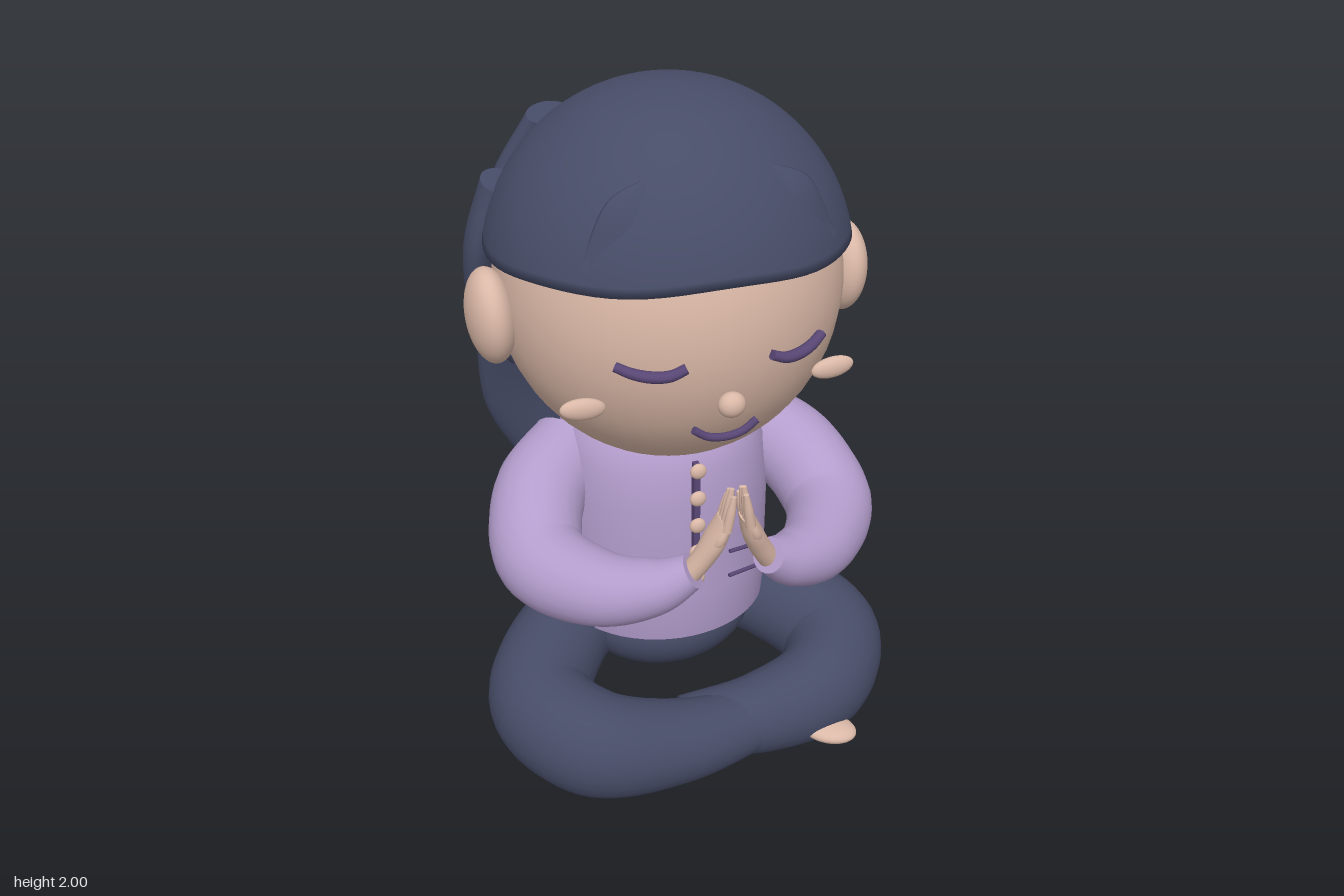
import * as THREE from 'three';

const flat = (name, color) => Object.assign(new THREE.MeshStandardMaterial({ color }), { name });

// Elliptical sections (half-width, half-depth) swept along a smooth path, with flat ends.
// ref gives the direction of the depth axis at each point.
function sweep(points, radii, ref = () => new THREE.Vector3(0, 1, 0), n = 32, sides = 24) {
  const path = new THREE.CatmullRomCurve3(points.map(p => new THREE.Vector3(...p)));
  const size = new THREE.CatmullRomCurve3(radii.map(r => new THREE.Vector3(r[0], r[1] ?? r[0], 0)));
  const pos = [], index = [];
  const ring = t => {
    const p = path.getPoint(t), s = size.getPoint(t), T = path.getTangent(t);
    const B = ref(p).cross(T).normalize(), N = T.clone().cross(B);
    for (let j = 0; j < sides; j++) {
      const a = j / sides * Math.PI * 2;
      const v = p.clone().addScaledVector(B, Math.cos(a) * s.x).addScaledVector(N, Math.sin(a) * s.y);
      pos.push(v.x, v.y, v.z);
    }
    return p;
  };
  for (let i = 0; i <= n; i++) ring(i / n);
  for (let i = 0; i < n; i++) for (let j = 0; j < sides; j++) {
    const k = (j + 1) % sides, a = i * sides + j, b = i * sides + k;
    index.push(a, b, a + sides, b, b + sides, a + sides);
  }
  for (const end of [0, 1]) {
    const start = pos.length / 3, c = ring(end);
    pos.push(c.x, c.y, c.z);
    for (let j = 0; j < sides; j++) {
      const a = start + j, b = start + (j + 1) % sides;
      index.push(start + sides, end ? a : b, end ? b : a);
    }
  }
  const g = new THREE.BufferGeometry();
  g.setAttribute('position', new THREE.Float32BufferAttribute(pos, 3));
  g.setIndex(index);
  g.computeVertexNormals();
  return g;
}

// Hair cap: a dome whose lower edge runs level over the face and drops at the back
function hairCap() {
  const g = new THREE.SphereGeometry(1, 72, 28, 0, Math.PI * 2, 0, Math.PI / 2);
  const p = g.attributes.position, uv = g.attributes.uv;
  for (let i = 0; i < p.count; i++) {
    const phi = uv.getX(i) * Math.PI * 2, v = 1 - uv.getY(i);
    const x = -Math.cos(phi), z = Math.sin(phi), a = Math.abs(Math.atan2(x, z));
    const edge = 1.594 + 0.02 * Math.cos(2 * a) + 0.005 * Math.cos(6 * a)
      - 0.4 * THREE.MathUtils.smoothstep(a, 1.9, 2.5);
    const low = edge < 1.49 ? 0.57 : 0.51;
    const th = Math.min(1, v * 28 / 27) * Math.acos((edge - 1.49) / low);
    const r = Math.sin(th) * (v > 0.99 ? 0.9 : 1), c = Math.cos(th);
    p.setXYZ(i, x * r * 0.512, 1.49 + c * (c > 0 ? 0.51 : 0.57), z * r * (z > 0 ? 0.51 : 0.5));
  }
  g.computeVertexNormals();
  return g;
}

export function createModel() {
  const model = new THREE.Group();
  const skin = flat('skin', 0xdab8a7), navy = flat('navy', 0x474c67);
  const lilac = flat('lilac', 0xb39dcc), plum = flat('plum', 0x584674);
  navy.side = lilac.side = THREE.DoubleSide;
  const add = (name, geo, mat) => {
    const m = new THREE.Mesh(geo, mat);
    m.name = name;
    model.add(m);
    return m;
  };
  const ball = (name, mat, c, r, rz = 0) => {
    const m = add(name, new THREE.SphereGeometry(1, 40, 28), mat);
    m.position.set(...c);
    m.scale.set(...r);
    m.rotation.z = rz;
    return m;
  };
  const outward = p => new THREE.Vector3(p.x, 0, p.z);
  const backward = p => new THREE.Vector3(p.x * 0.65, 0, p.z);
  const sideways = () => new THREE.Vector3(1, 0, 0);
  const forward = () => new THREE.Vector3(0, 0, 1);

  // Head and face
  ball('head', skin, [0, 1.45, 0], [0.487, 0.52, 0.49]);
  ball('nose', skin, [0, 1.297, 0.503], [0.037, 0.035, 0.03]);
  add('mouth', sweep([[-0.088, 1.215, 0.462], [-0.05, 1.19, 0.465], [0, 1.182, 0.467],
    [0.05, 1.19, 0.465], [0.088, 1.215, 0.462]], [[0.011], [0.011]], forward, 20, 10), plum);

  // Hair
  add('hairCap', hairCap(), navy);
  add('middleHairLock', sweep([[0, 1.6, -0.36], [0, 1.3, -0.435], [0, 0.95, -0.505], [0, 0.65, -0.525],
    [0, 0.575, -0.53]], [[0.13, 0.06], [0.18, 0.065], [0.165, 0.07], [0.11, 0.06], [0.06, 0.05]], outward), navy);

  // Torso, shirt back panel and pelvis
  const profile = [[0, 0.38], [0.31, 0.38], [0.33, 0.347], [0.33, 0.5], [0.33, 0.68], [0.327, 0.8],
    [0.312, 0.91], [0.285, 0.98], [0.24, 1.02], [0, 1.03]].map(p => new THREE.Vector2(...p));
  const torso = add('torso', new THREE.LatheGeometry(profile, 56), lilac);
  const panel = add('shirtBackPanel',
    new THREE.CylinderGeometry(0.335, 0.335, 0.27, 40, 1, true, 1.46, Math.PI * 2 - 2.92), lilac);
  panel.position.y = 0.485;
  for (const m of [torso, panel]) {
    m.scale.z = 0.94;
    m.position.z = -0.07;
  }
  ball('pelvis', navy, [0, 0.29, -0.065], [0.29, 0.185, 0.265]);

  // Button strip
  const strip = add('buttonStrip', new THREE.BoxGeometry(0.018, 0.42, 0.025), plum);
  strip.position.set(0, 0.76, 0.25);
  for (let i = 0; i < 5; i++) ball('button', skin, [0, 0.585 + i * 0.092, 0.267], [0.024, 0.024, 0.015]);

  for (const s of [1, -1]) {
    const side = s > 0 ? 'left' : 'right';
    const m = pts => pts.map(([x, y, z]) => [s * x, y, z]);

    // Ears, cheeks and closed eyes
    ball(side + 'Ear', skin, [s * 0.513, 1.415, 0.035], [0.066, 0.135, 0.115], -s * 0.05);
    ball(side + 'Cheek', skin, [s * 0.352, 1.267, 0.352], [0.062, 0.031, 0.02], s * 0.1);
    add(side + 'Eye', sweep(m([[0.115, 1.41, 0.482], [0.155, 1.394, 0.478], [0.2, 1.39, 0.462],
      [0.245, 1.397, 0.44], [0.282, 1.41, 0.414]]), [[0.013, 0.016], [0.015, 0.018], [0.013, 0.016]],
      forward, 20, 10), plum);

    // Hair locks: broad and overlapping behind, rounded at the tips
    add(side + 'Fringe', sweep(m([[0.12, 1.86, 0.307], [0.22, 1.77, 0.352], [0.33, 1.65, 0.345]]),
      [[0.01, 0.006], [0.07, 0.014], [0.02, 0.01]], outward, 20, 16), navy);
    add(side + 'BackHairLock', sweep(m([[0.255, 1.855, -0.255], [0.32, 1.6, -0.35], [0.31, 1.25, -0.42],
      [0.295, 0.92, -0.495], [0.23, 0.66, -0.52], [0.21, 0.575, -0.527]]),
      [[0.08, 0.045], [0.145, 0.065], [0.185, 0.062], [0.175, 0.065], [0.115, 0.06], [0.06, 0.055]], backward), navy);
    add(side + 'SideHairLock', sweep(m([[0.425, 1.71, -0.17], [0.47, 1.5, -0.23], [0.445, 1.27, -0.29],
      [0.37, 1.08, -0.33]]), [[0.06, 0.05], [0.095, 0.05], [0.08, 0.045], [0.025, 0.02]], outward), navy);

    // Sleeve
    add(side + 'Arm', sweep(m([[0.27, 0.885, -0.1], [0.4, 0.81, 0.02], [0.445, 0.715, 0.19],
      [0.33, 0.71, 0.38], [0.2, 0.755, 0.48], [0.11, 0.815, 0.525]]),
      [[0.12], [0.135], [0.132], [0.108], [0.08], [0.05]], undefined, 44), lilac);

    // Praying hand
    add(side + 'Palm', sweep(m([[0.115, 0.8, 0.515], [0.08, 0.86, 0.53], [0.052, 0.92, 0.54], [0.03, 0.985, 0.55]]),
      [[0.03, 0.03], [0.034, 0.03], [0.042, 0.028], [0.036, 0.018]], sideways, 16, 16), skin);
    for (let i = 0; i < 4; i++) {
      const z = 0.524 + i * 0.017, tip = 1.045 + [0, 0.025, 0.035, 0.02][i];
      add(side + 'Finger', sweep(m([[0.034, 0.96, z], [0.025, (0.96 + tip) / 2, z + 0.002], [0.017, tip, z + 0.003]]),
        [[0.014], [0.013], [0.007]], sideways, 10, 10), skin);
    }
    add(side + 'Thumb', sweep(m([[0.065, 0.89, 0.545], [0.05, 0.93, 0.57], [0.028, 0.98, 0.575]]),
      [[0.018], [0.016], [0.008]], sideways, 10, 10), skin);

    // Pocket outline
    const corners = m([[0.11, 0.638, 0.245], [0.22, 0.63, 0.22], [0.22, 0.55, 0.22], [0.11, 0.55, 0.245]]);
    for (let i = 0; i < 3; i++) {
      add(side + 'PocketTrim', sweep([corners[i], corners[i + 1]], [[0.006], [0.006]],
        i === 1 ? forward : undefined, 2, 8), plum);
    }
  }

  // Crossed legs and feet
  add('rightLeg', sweep([[-0.17, 0.28, -0.12], [-0.36, 0.262, 0.02], [-0.475, 0.208, 0.22], [-0.37, 0.172, 0.4],
    [-0.12, 0.135, 0.44], [0.18, 0.125, 0.4]],
    [[0.12, 0.135], [0.15, 0.155], [0.155, 0.165], [0.15, 0.162], [0.125, 0.126], [0.095, 0.09]], undefined, 48), navy);
  add('leftLeg', sweep([[0.17, 0.28, -0.12], [0.36, 0.262, 0.02], [0.475, 0.208, 0.21], [0.38, 0.166, 0.365],
    [0.17, 0.132, 0.4], [-0.08, 0.13, 0.375]],
    [[0.12, 0.135], [0.15, 0.155], [0.155, 0.163], [0.142, 0.156], [0.12, 0.126], [0.09, 0.085]], undefined, 48), navy);
  ball('rightFoot', skin, [0.345, 0.098, 0.5], [0.085, 0.03, 0.06], -0.08).rotation.y = -0.5;
  ball('leftFoot', skin, [-0.12, 0.11, 0.35], [0.065, 0.045, 0.05]);

  return model;
}
